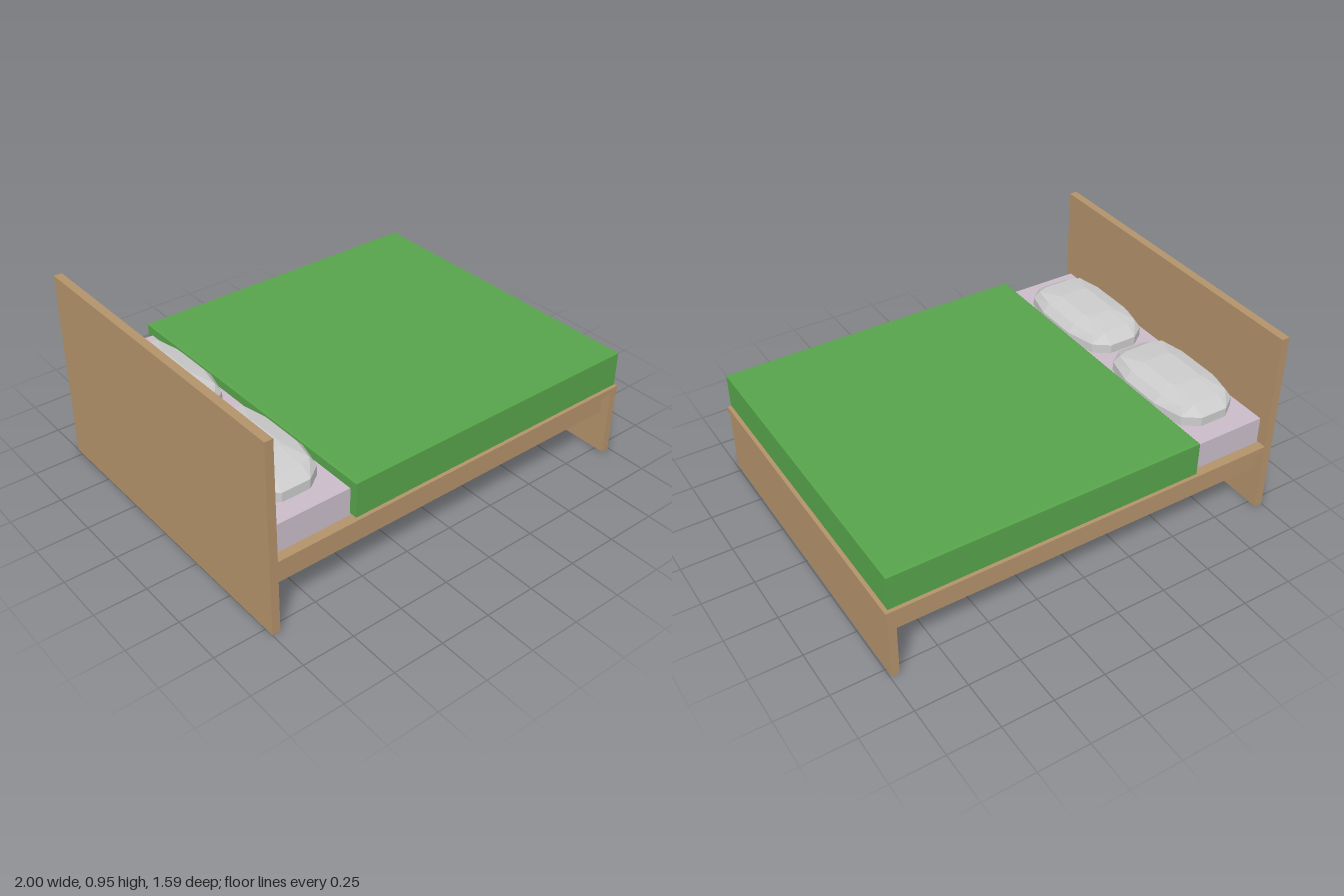
import * as THREE from 'three';

const wood = new THREE.MeshStandardMaterial({ color: 0xb2926a });
const sheet = new THREE.MeshStandardMaterial({ color: 0xc9bcc8 });
const green = new THREE.MeshStandardMaterial({ color: 0x57a34b });
const grey = new THREE.MeshStandardMaterial({ color: 0xcccccc, flatShading: true });

// Box given by its extents in x and y, and its half depth in z
function slab(name, x0, x1, y0, y1, halfZ, material) {
  const mesh = new THREE.Mesh(new THREE.BoxGeometry(x1 - x0, y1 - y0, 2 * halfZ), material);
  mesh.name = name;
  mesh.position.set((x0 + x1) / 2, (y0 + y1) / 2, 0);
  return mesh;
}

// Blanket: a block with narrow chamfers along its edges
function blanket(x0, x1, y0, y1, halfZ) {
  const b = 0.008, w = (x1 - x0) / 2 - b, d = halfZ - b;
  const shape = new THREE.Shape([
    new THREE.Vector2(-w, -d), new THREE.Vector2(w, -d),
    new THREE.Vector2(w, d), new THREE.Vector2(-w, d),
  ]);
  const geo = new THREE.ExtrudeGeometry(shape, {
    depth: y1 - y0 - 2 * b, bevelEnabled: true, bevelThickness: b, bevelSize: b, bevelSegments: 1,
  });
  geo.rotateX(-Math.PI / 2).translate((x0 + x1) / 2, y0 + b, 0);
  const mesh = new THREE.Mesh(geo, green);
  mesh.name = 'blanket';
  return mesh;
}

// Pillow: stacked twelve-sided rings, each mirrored from three corner points
function pillowGeometry() {
  const outline = [[0.183, 0.11], [0.145, 0.255], [0.07, 0.31]];
  const layers = [
    [0, outline],
    [0.047, outline],
    [0.085, [[0.15, 0.11], [0.125, 0.232], [0.07, 0.25]]],
    [0.105, [[0.078, 0.085], [0.072, 0.105], [0.06, 0.115]]],
  ];
  const positions = [], index = [], n = 12;
  for (const [y, q] of layers) {
    const half = [...q, ...[...q].reverse().map(([x, z]) => [-x, z])];
    const ring = [...half, ...half.map(([x, z]) => [-x, -z])];
    for (const [x, z] of ring) positions.push(x, y, z);
  }
  for (let l = 0; l < layers.length - 1; l++) {
    for (let i = 0; i < n; i++) {
      const a = l * n + i, b = l * n + (i + 1) % n;
      index.push(a, a + n, b, b, a + n, b + n);
    }
  }
  // Bottom and top caps
  const top = (layers.length - 1) * n;
  for (let i = 1; i < n - 1; i++) {
    index.push(0, i, i + 1, top, top + i + 1, top + i);
  }
  const geo = new THREE.BufferGeometry();
  geo.setAttribute('position', new THREE.Float32BufferAttribute(positions, 3));
  geo.setIndex(index);
  geo.computeVertexNormals();
  return geo;
}

export function createModel() {
  const bed = new THREE.Group();
  bed.name = 'bed';

  // Wooden frame
  bed.add(
    slab('headboard', -1, -0.96, 0, 0.95, 0.795, wood),
    slab('footPanel', 0.955, 0.993, 0, 0.33, 0.795, wood),
    slab('platform', -0.96, 1, 0.33, 0.363, 0.795, wood),
    slab('underframe', -0.96, 0.955, 0.21, 0.33, 0.75, wood),
  );

  // Bedding
  bed.add(
    slab('mattress', -0.952, 0.95, 0.363, 0.5, 0.748, sheet),
    blanket(-0.565, 0.985, 0.365, 0.55, 0.786),
  );

  // Pair of pillows
  const geo = pillowGeometry();
  for (const [name, side] of [['leftPillow', -1], ['rightPillow', 1]]) {
    const pillow = new THREE.Mesh(geo, grey);
    pillow.name = name;
    pillow.position.set(-0.758, 0.499, side * 0.34);
    bed.add(pillow);
  }
  return bed;
}
